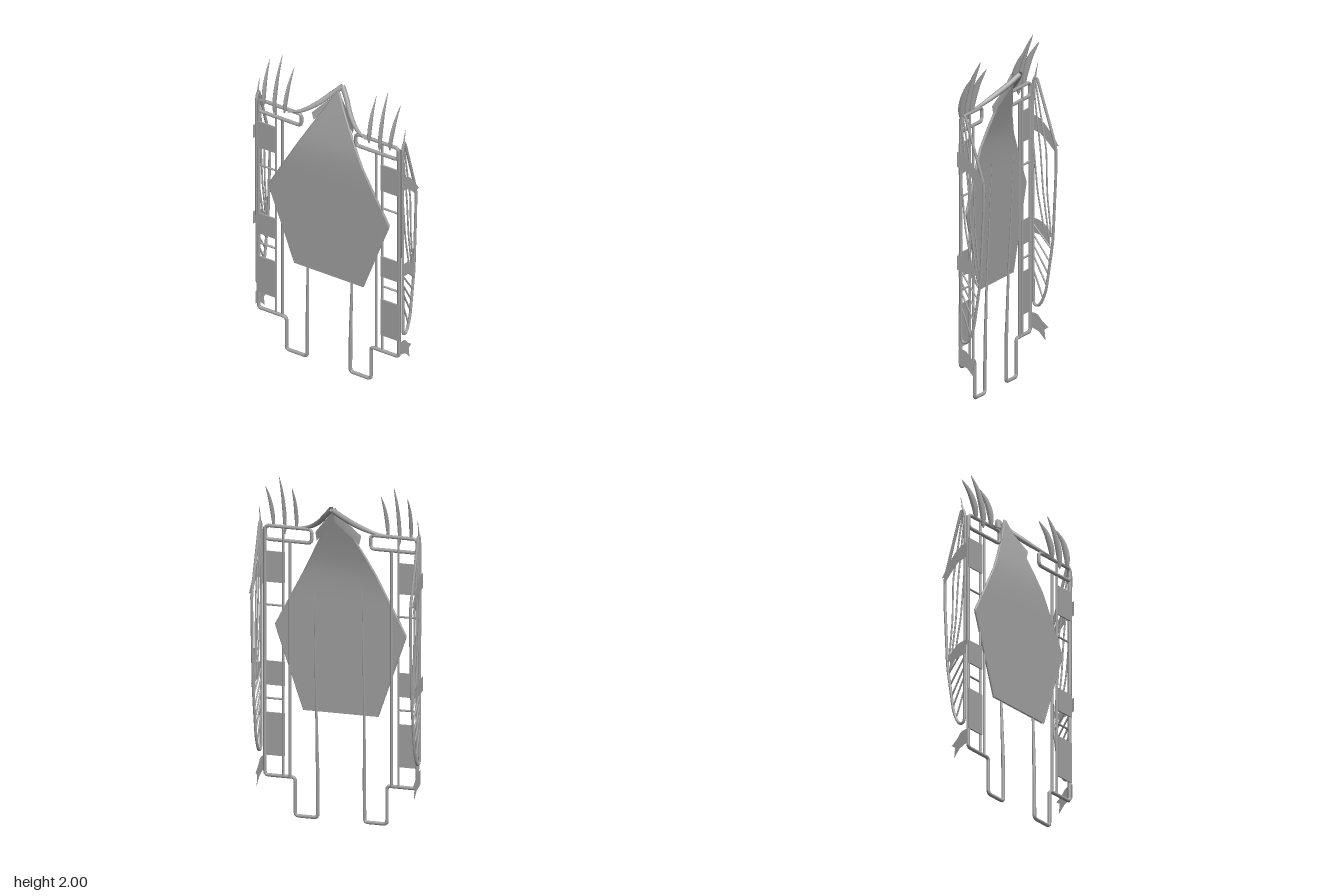
import * as THREE from 'three';

export function createModel() {
  const model = new THREE.Group();
  const grey = new THREE.MeshStandardMaterial({ color: 0xa2a2a2, side: THREE.DoubleSide });
  grey.name = 'grey';
  const V = (p) => new THREE.Vector3(...p);

  const add = (parent, name, geometry) => {
    const mesh = new THREE.Mesh(geometry, grey);
    mesh.name = name;
    parent.add(mesh);
    return mesh;
  };

  // Bent pipe: straight runs joined by small rounded corners
  const pipe = (parent, name, points, radius, bend = 0.02, closed = false) => {
    const p = points.map(V), n = p.length, path = new THREE.CurvePath();
    const toward = (a, b) => a.clone().add(b.clone().sub(a).setLength(Math.min(bend, a.distanceTo(b) * 0.45)));
    const start = closed ? toward(p[0], p[1]) : p[0];
    let from = start;
    for (let i = 1; i < (closed ? n + 1 : n - 1); i++) {
      const c = p[i % n], a = toward(c, p[(i - 1) % n]), b = toward(c, p[(i + 1) % n]);
      path.add(new THREE.LineCurve3(from, a));
      path.add(new THREE.QuadraticBezierCurve3(a, c, b));
      from = b;
    }
    if (!closed) path.add(new THREE.LineCurve3(from, p[n - 1]));
    const segments = n === 2 ? 2 : Math.ceil(path.getLength() / 0.012);
    return add(parent, name, new THREE.TubeGeometry(path, segments, radius, 8, false));
  };

  // Smooth curved bar whose radius changes along its length; flat squeezes it in x
  const horn = (parent, name, points, radiusAt, flat = 1, n = 20) => {
    const curve = new THREE.CatmullRomCurve3(points.map(V));
    const g = new THREE.TubeGeometry(curve, n, 1, 8, false), pos = g.attributes.position;
    const v = new THREE.Vector3();
    for (let i = 0; i < pos.count; i++) {
      const t = Math.floor(i / 9) / n, c = curve.getPointAt(t);
      v.fromBufferAttribute(pos, i).sub(c).multiplyScalar(radiusAt(t));
      v.x *= flat;
      v.add(c);
      pos.setXYZ(i, v.x, v.y, v.z);
    }
    g.computeVertexNormals();
    return add(parent, name, g);
  };

  // Main shield panel: flat below, leaning back towards its point
  const rows = [[0.635, 0.222], [1.12, 0.395], [1.3, 0.298], [1.45, 0.217], [1.55, 0.163],
    [1.65, 0.108], [1.75, 0.054], [1.85, 0.002]];
  const lean = (y) => 0.072 - 0.1 * Math.pow(Math.max(0, (y - 1.42) / 0.43), 1.3);
  const faceStrip = (back) => {
    const g = new THREE.PlaneGeometry(1, 1, 1, rows.length - 1), pos = g.attributes.position;
    rows.forEach(([y, w], r) => {
      const i = (rows.length - 1 - r) * 2, z = lean(y) - back;
      pos.setXYZ(i, -w, y, z);
      pos.setXYZ(i + 1, w, y, z);
    });
    g.computeVertexNormals();
    return g;
  };
  add(model, 'panelFront', faceStrip(0));
  const backGeometry = faceStrip(0.014);
  backGeometry.setIndex([...backGeometry.index.array].reverse());
  backGeometry.computeVertexNormals();
  add(model, 'panelBack', backGeometry);
  pipe(model, 'panelBottomEdge', [[-0.215, 0.643, 0.065], [0.215, 0.643, 0.065]], 0.007);

  const buildSide = () => {
    const side = new THREE.Group();

    // Raised rim along the panel edge
    pipe(side, 'panelRim', rows.map(([y, w]) => [w, y, lean(y) - 0.007]), 0.008, 0.005);

    // Arch over the point of the panel, with a folded flap behind it
    horn(side, 'topArch', [[0.26, 1.69, 0.088], [0.19, 1.707, 0.065], [0.11, 1.755, 0.012],
      [0.05, 1.81, -0.045], [0, 1.858, -0.084]], (t) => 0.005 + 0.011 * Math.sin(Math.min(1, t * 1.6) * Math.PI / 2));
    const flap = new THREE.BufferGeometry();
    flap.setAttribute('position', new THREE.Float32BufferAttribute(
      [0, 1.845, -0.045, 0, 1.77, -0.03, 0.13, 1.64, 0.02, 0.14, 1.69, 0.025], 3));
    flap.setIndex([0, 2, 1, 0, 3, 2]);
    flap.computeVertexNormals();
    add(side, 'archFlap', flap);

    // Outer rail stepping down to the foot loop
    pipe(side, 'outerRail', [[0.465, 1.68, 0.068], [0.465, 0.235, 0.068], [0.28, 0.235, 0.068],
      [0.28, 0.012, 0.068], [0.143, 0.012, 0.068], [0.143, 0.3, 0.066]], 0.0105);
    horn(side, 'innerRod', [[0.143, 0.28, 0.066], [0.146, 0.64, 0.055], [0.147, 1.0, 0.038], [0.147, 1.38, 0.02]],
      (t) => 0.0105 - 0.0095 * t);
    pipe(side, 'topBracket', [[0.463, 1.69, 0.07], [0.18, 1.69, 0.07], [0.18, 1.61, 0.07], [0.463, 1.61, 0.07]],
      0.0105, 0.025, true);
    pipe(side, 'innerRail', [[0.31, 1.61, 0.062], [0.31, 0.235, 0.062]], 0.008);
    pipe(side, 'middleRail', [[0.352, 1.69, 0.065], [0.352, 0.235, 0.065]], 0.007);
    for (const y of [1.23, 0.685])
      pipe(side, 'crossbar', [[0.352, y, 0.065], [0.465, y, 0.065]], 0.006);

    // Flat plates between the rails
    for (const [low, high] of [[1.36, 1.54], [0.76, 0.9], [0.35, 0.6]]) {
      const plate = add(side, 'railPlate', new THREE.BoxGeometry(0.125, high - low, 0.008));
      plate.position.set(0.411, (low + high) / 2, 0.075);
    }

    // Three claws standing on the bracket
    for (const [x, dx, y, h] of [[0.28, -0.008, 1.67, 0.27], [0.35, 0, 1.64, 0.36], [0.418, 0.016, 1.67, 0.27]])
      horn(side, 'claw', [[x, y, 0.088], [x + dx * 0.2, y + h * 0.25, 0.084],
        [x + dx * 0.6, y + h * 0.65, 0.05], [x + dx, y + h, -0.003]],
      (t) => 0.001 + 0.02 * Math.pow(Math.sin(Math.PI * Math.pow(t, 0.6)), 0.8), 0.38);

    // Side wing: frame and ribs, given as z, y pairs
    const wx = 0.484;
    const wing = (name, pts, r, closed = false) =>
      pipe(side, name, pts.map(([z, y]) => [wx, y, z]), r, 0.04, closed);
    wing('wingFrame', [[0.062, 1.68], [0.04, 1.735], [-0.086, 1.32], [-0.084, 1.15], [-0.066, 0.77],
      [-0.022, 0.47], [0.015, 0.385], [0.056, 0.385]], 0.0085, true);
    horn(side, 'wingTip', [[wx, 1.62, 0.055], [wx, 1.72, 0.045], [wx, 1.805, 0.028]], (t) => 0.011 - 0.01 * t);
    for (const rib of [
      [[0.045, 1.7], [-0.025, 1.3], [-0.03, 1.05], [-0.055, 0.8]],
      [[0.05, 1.62], [0.012, 1.3], [-0.005, 1.05], [-0.045, 0.76]],
      [[0.058, 1.35], [0.03, 1.05], [-0.01, 0.84]],
      [[0.058, 0.86], [-0.06, 0.72]], [[0.058, 0.8], [-0.052, 0.64]], [[0.058, 0.74], [-0.04, 0.57]],
      [[0.058, 0.68], [-0.03, 0.5]], [[0.058, 0.6], [0, 0.44]],
    ]) wing('wingRib', rib, 0.005);

    // Torn ribbons tied around the side
    const ribbon = (name, x, top, bottom) => {
      const s = new THREE.Shape();
      s.moveTo(...top[0]);
      s.splineThru(top.slice(1).map((p) => new THREE.Vector2(...p)));
      bottom.forEach((p) => s.lineTo(...p));
      s.closePath();
      const g = new THREE.ShapeGeometry(s, 6);
      g.rotateY(-Math.PI / 2);
      add(side, name, g).position.x = x;
    };
    ribbon('upperRibbon', 0.497, [[0.076, 1.5], [0.02, 1.475], [-0.04, 1.41], [-0.097, 1.325]],
      [[-0.07, 1.325], [-0.085, 1.275], [-0.03, 1.34], [0.02, 1.39], [0.076, 1.41]]);
    ribbon('middleRibbon', 0.497, [[0.076, 0.895], [0.02, 0.88], [-0.03, 0.84], [-0.062, 0.79]],
      [[-0.035, 0.79], [-0.05, 0.72], [0, 0.79], [0.076, 0.81]]);
    ribbon('lowerRibbon', 0.48, [[0.076, 0.345], [0.03, 0.335], [0, 0.3], [-0.04, 0.265]],
      [[-0.015, 0.25], [-0.022, 0.185], [0.02, 0.235], [0.076, 0.26]]);
    return side;
  };

  // Both sides are mirror images
  const left = buildSide(), right = buildSide();
  left.name = 'leftSide';
  right.name = 'rightSide';
  right.scale.x = -1;
  model.add(left, right);
  return model;
}
